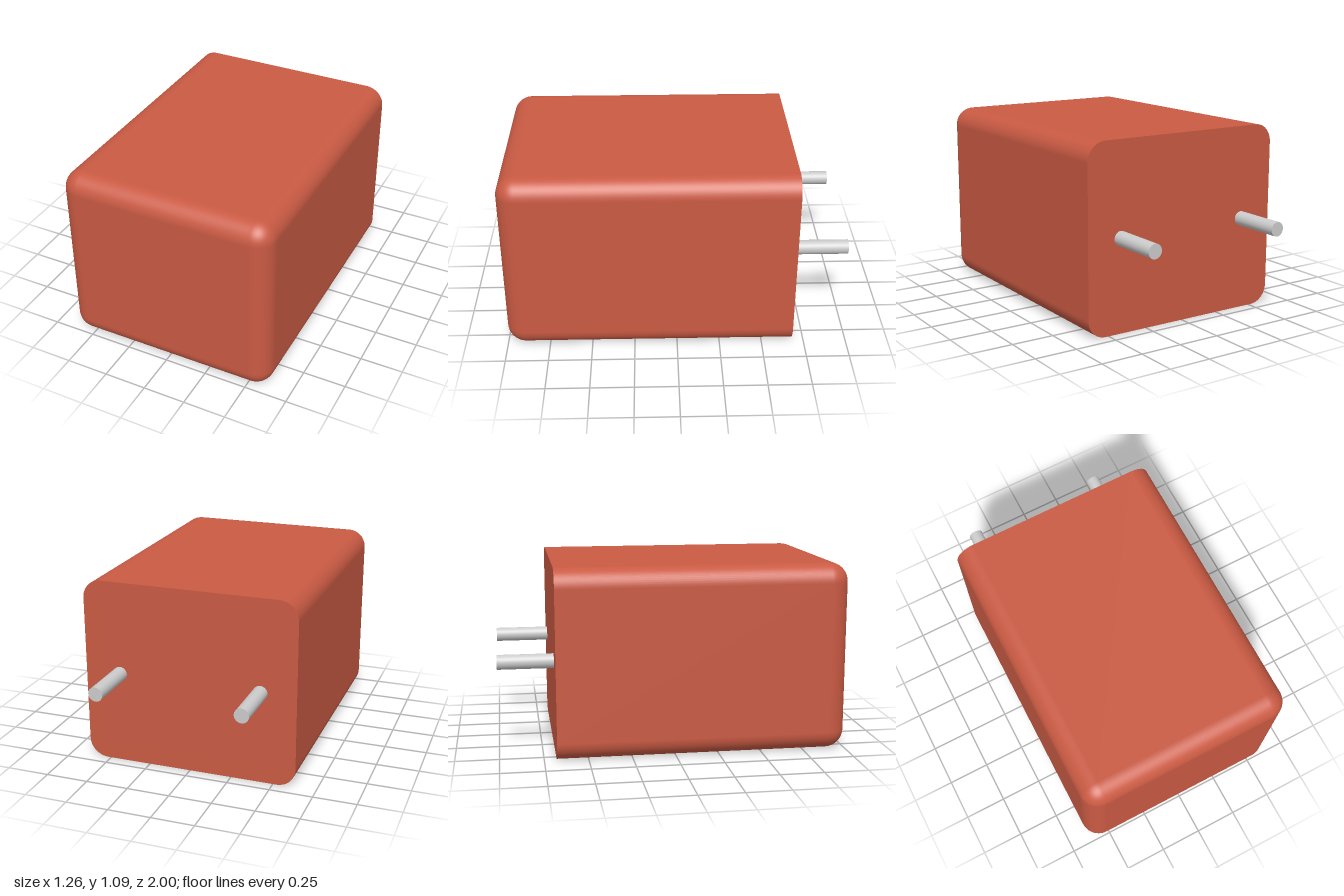
import * as THREE from 'three';
import { RoundedBoxGeometry } from 'three/addons/geometries/RoundedBoxGeometry.js';

const W = 1.26, H = 1.09, R = 0.11;
const BACK = -0.68, FRONT = 1;

// Rounded box whose back rounding is pressed flat, leaving a sharp back edge
function bodyGeometry() {
  const depth = FRONT - BACK + R;
  const geo = new RoundedBoxGeometry(W, H, depth, 8, R);
  geo.translate(0, H / 2, FRONT - depth / 2);
  const pos = geo.attributes.position, nor = geo.attributes.normal;
  for (let i = 0; i < pos.count; i += 3) {
    const tri = [i, i + 1, i + 2];
    const isCap = tri.every((j) => pos.getZ(j) < BACK + 1e-4);
    for (const j of tri) {
      if (pos.getZ(j) < BACK) pos.setZ(j, BACK);
      if (isCap) nor.setXYZ(j, 0, 0, -1);
    }
  }
  return geo;
}

export function createModel() {
  const model = new THREE.Group();

  // Housing
  const body = new THREE.Mesh(bodyGeometry(), new THREE.MeshStandardMaterial({ color: 0xc95a43 }));
  body.name = 'body';
  model.add(body);

  // Two round pins on the back
  const grey = new THREE.MeshStandardMaterial({ color: 0xcccccc });
  const length = 0.32;
  const pinGeo = new THREE.CylinderGeometry(0.042, 0.042, length, 32).rotateX(Math.PI / 2);
  for (const side of [1, -1]) {
    const pin = new THREE.Mesh(pinGeo, grey);
    pin.name = side > 0 ? 'leftPin' : 'rightPin';
    pin.position.set(side * 0.42, H / 2, BACK - length / 2);
    model.add(pin);
  }
  return model;
}
